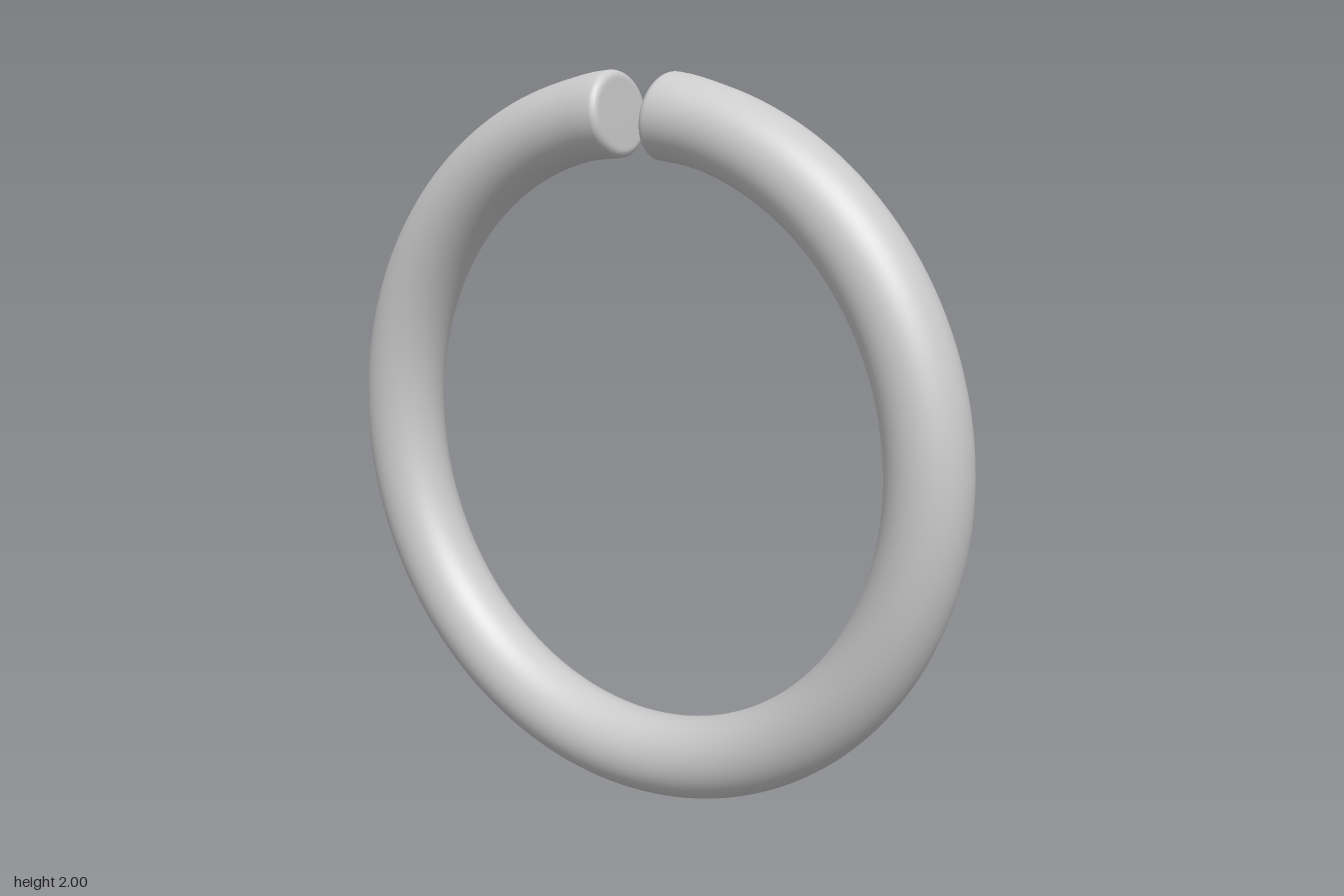
import * as THREE from 'three';

const RING = 0.887;   // centre-line radius of the ring
const TUBE = 0.113;   // radius of the bar
const LIP = 0.117;    // slightly swollen bar ends
const ROUND = 0.022;  // edge rounding at the cut
const HALF = RING * (Math.PI - 0.076); // half length of the bar
const TILT = 0.06;    // the cut leans away from the radial plane

// Profile of a straight bar: cap centre, rounded edge, long side, and the same again
function barProfile() {
  const half = [];
  const STEPS = 80;
  for (let i = 0; i <= STEPS; i++) {
    const y = (HALF - ROUND) * i / STEPS;
    const swell = THREE.MathUtils.smoothstep(y, HALF - 0.16, HALF - 0.04);
    half.push(new THREE.Vector2(TUBE + (LIP - TUBE) * swell, y));
  }
  for (let i = 1; i <= 6; i++) {
    const a = i / 6 * Math.PI / 2;
    half.push(new THREE.Vector2(LIP - ROUND + ROUND * Math.cos(a), HALF - ROUND + ROUND * Math.sin(a)));
  }
  half.push(new THREE.Vector2(LIP - ROUND - 0.006, HALF), new THREE.Vector2(0, HALF));
  const mirrored = half.slice(1).reverse().map(p => new THREE.Vector2(p.x, -p.y));
  return [...mirrored, ...half];
}

// Bend the straight bar around the ring, carrying the normals along
function bend(geometry) {
  const pos = geometry.attributes.position, nor = geometry.attributes.normal;
  for (let i = 0; i < pos.count; i++) {
    const x = pos.getX(i), y = pos.getY(i);
    const nearEnd = THREE.MathUtils.smoothstep(Math.abs(y), HALF - 0.25, HALF - 0.03);
    const angle = (y - Math.sign(y) * TILT * x * nearEnd) / RING;
    const s = Math.sin(angle), c = Math.cos(angle);
    pos.setXY(i, s * (RING + x), 1 - c * (RING + x));
    const nx = nor.getX(i), ny = nor.getY(i);
    nor.setXY(i, s * nx + c * ny, s * ny - c * nx);
  }
  return geometry;
}

export function createModel() {
  const group = new THREE.Group();
  group.name = 'openRing';
  const material = new THREE.MeshStandardMaterial({ color: 0xcccccc });
  const bar = new THREE.Mesh(bend(new THREE.LatheGeometry(barProfile(), 48)), material);
  bar.name = 'ringBar';
  group.add(bar);
  return group;
}
